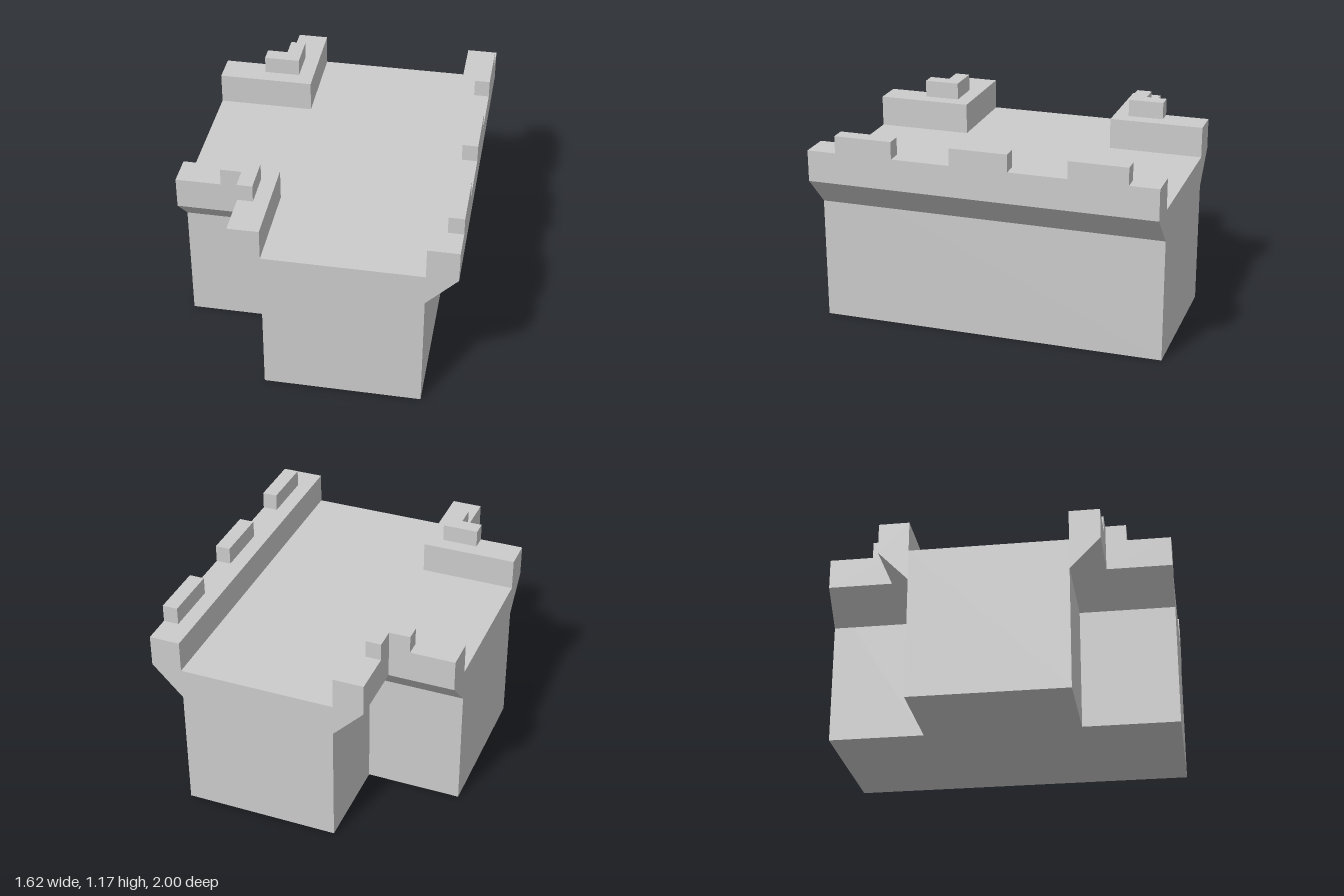
import * as THREE from 'three';

const material = new THREE.MeshStandardMaterial({ color: 0xcccccc, flatShading: true });

const DECK = 0.89, CORBEL = 0.71, RIM = 1.07, TOP = 1.17; // heights
const EAST = 0.63, WEST = -0.81, INNER = -0.26, ARM = 0.45; // wall lines
const OUT = 0.175; // parapet overhang

// Sweep a section of [outward offset, height] along a mitred run of [x, z] points
function sweep(name, section, run) {
  const rings = section.map(([d, y]) => run(d).map(([x, z]) => [x, y, z]));
  const n = section.length, last = rings[0].length - 1, pos = [];
  const quad = (a, b, c, d) => pos.push(...a, ...b, ...c, ...a, ...c, ...d);
  for (let i = 0; i < n; i++) {
    const p = rings[i], q = rings[(i + 1) % n];
    for (let k = 0; k < last; k++) quad(p[k], p[k + 1], q[k + 1], q[k]);
  }
  quad(...rings.map(r => r[0]));
  quad(...rings.map(r => r[last]).reverse());
  const geometry = new THREE.BufferGeometry();
  geometry.setAttribute('position', new THREE.Float32BufferAttribute(pos, 3));
  geometry.computeVertexNormals();
  const mesh = new THREE.Mesh(geometry, material);
  mesh.name = name;
  return mesh;
}

// Straight run along the long wall
const straight = (z0, z1) => d => [[EAST + d, z1], [EAST + d, z0]];

// L-shaped run round an inside corner; side -1 mirrors it in z
const corner = (side, xEnd, zEnd) => d => {
  const points = [[xEnd, ARM + d], [INNER - d, ARM + d], [INNER - d, zEnd]]
    .map(([x, z]) => [x, z * side]);
  return side > 0 ? points : points.reverse();
};

const parapetSection = [[0, CORBEL], [OUT, DECK], [OUT, RIM], [0, RIM]];
const merlonSection = [[0.088, RIM], [OUT, RIM], [OUT, TOP], [0.088, TOP]];

export function createModel() {
  const model = new THREE.Group();
  model.name = 'wallJunction';

  // T-shaped wall body with the flat walkway on top
  const plan = new THREE.Shape([
    [EAST, -1], [EAST, 1], [INNER, 1], [INNER, ARM],
    [WEST, ARM], [WEST, -ARM], [INNER, -ARM], [INNER, -1],
  ].map(([x, y]) => new THREE.Vector2(x, y)));
  const bodyGeometry = new THREE.ExtrudeGeometry(plan, { depth: DECK, bevelEnabled: false });
  bodyGeometry.rotateX(-Math.PI / 2);
  const body = new THREE.Mesh(bodyGeometry, material);
  body.name = 'wallBody';
  model.add(body);

  // Long parapet with three merlons
  model.add(sweep('longParapet', parapetSection, straight(-1, 1)));
  for (const z of [-0.667, 0, 0.667]) {
    model.add(sweep('merlon', merlonSection, straight(z - 0.166, z + 0.166)));
  }

  // Corner parapets, each with an L-shaped merlon
  for (const side of [1, -1]) {
    model.add(sweep('cornerParapet', parapetSection, corner(side, WEST, 1)));
    model.add(sweep('cornerMerlon', merlonSection, corner(side, -0.555, 0.745)));
  }
  return model;
}
